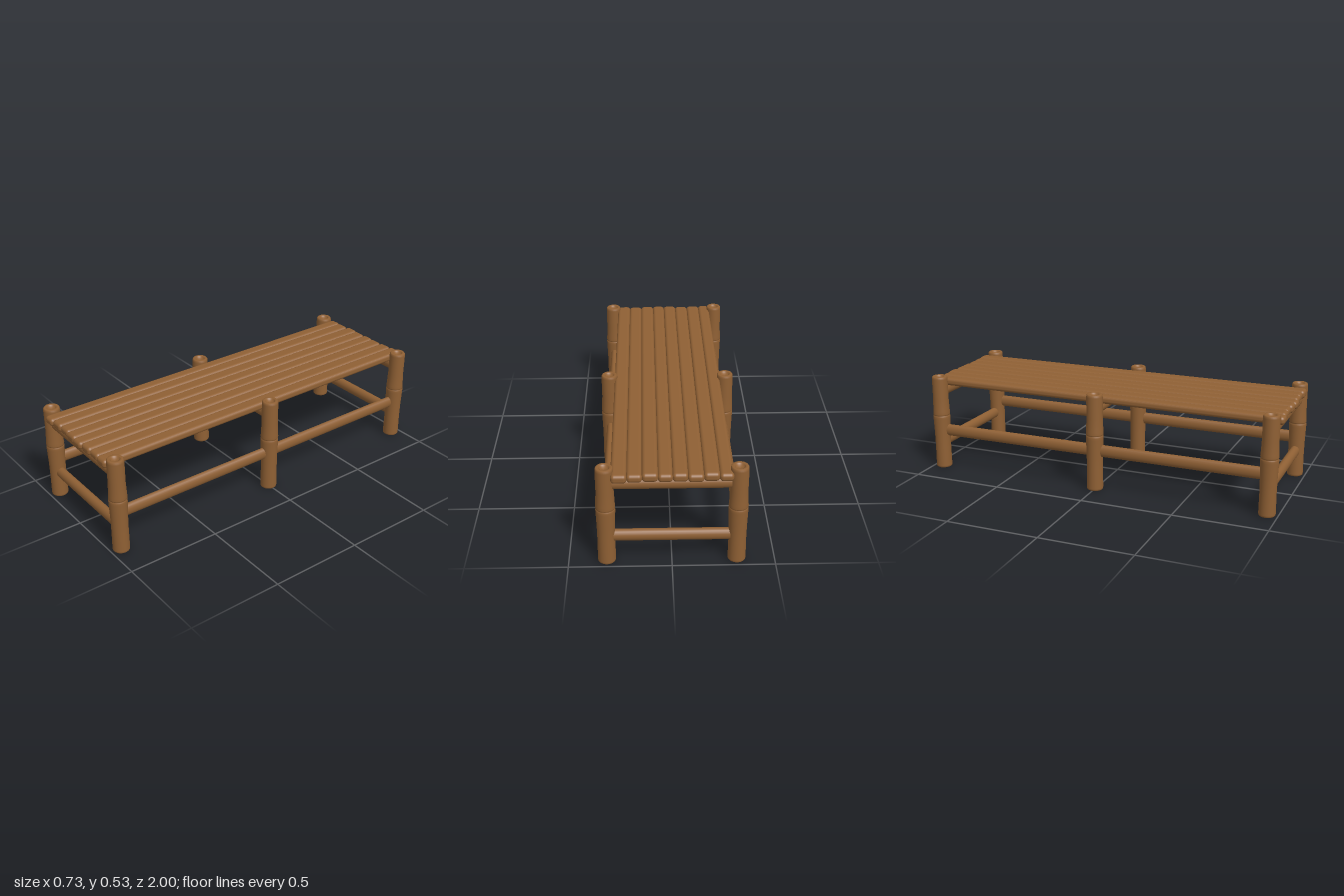
import * as THREE from 'three';
import { RoundedBoxGeometry } from 'three/addons/geometries/RoundedBoxGeometry.js';

const wood = new THREE.MeshStandardMaterial({ color: 0x8f6034 });

// Bamboo post: rounded rims, dished ends and a swollen node
const postProfile = [
  [0, 0.012], [0.017, 0.011], [0.024, 0.002], [0.028, 0], [0.039, 0], [0.043, 0.004],
  [0.044, 0.012], [0.043, 0.12], [0.044, 0.2], [0.047, 0.285], [0.0475, 0.298],
  [0.046, 0.304], [0.044, 0.306], [0.046, 0.308], [0.0475, 0.314], [0.046, 0.33],
  [0.043, 0.4], [0.0435, 0.515], [0.042, 0.525], [0.038, 0.53], [0.028, 0.53],
  [0.024, 0.527], [0.017, 0.517], [0, 0.515],
].map(([r, y]) => new THREE.Vector2(r, y));

export function createModel() {
  const group = new THREE.Group();
  const add = (name, geometry, x, y, z) => {
    const mesh = new THREE.Mesh(geometry, wood);
    mesh.name = name;
    mesh.position.set(x, y, z);
    group.add(mesh);
    return mesh;
  };

  // Six posts
  const postX = 0.315;
  const postZ = 0.944;
  const postGeometry = new THREE.LatheGeometry(postProfile, 28);
  for (const x of [-postX, postX]) {
    for (const z of [-postZ, 0, postZ]) add('post', postGeometry, x, 0, z);
  }

  // Oval poles, taller than wide
  const pole = (length, width, height) =>
    new THREE.CylinderGeometry(1, 1, length, 20)
      .rotateX(Math.PI / 2)
      .scale(width / 2, height / 2, 1);

  // Long side rails between neighbouring posts
  const sideRail = pole(postZ - 0.03, 0.042, 0.066);
  for (const x of [-postX, postX]) {
    for (const z of [-postZ / 2, postZ / 2]) add('sideRail', sideRail, x, 0.22, z);
  }

  // Cross rails: upper ones under the slats, lower ones at the two ends
  const crossRail = pole(postX * 2 - 0.03, 0.05, 0.062).rotateY(Math.PI / 2);
  for (const z of [-postZ, 0, postZ]) {
    add('upperCrossRail', crossRail, 0, 0.443, z);
    if (z !== 0) add('lowerCrossRail', crossRail, 0, 0.148, z);
  }

  // Rounded slats with slightly uneven ends
  const seams = [-0.285, -0.22, -0.147, -0.073, -0.002, 0.066, 0.14, 0.212, 0.285];
  const frontEnds = [1, 0.992, 0.988, 0.994, 0.998, 0.99, 0.986, 0.991];
  const backEnds = [0.993, 0.987, 0.998, 0.99, 0.994, 0.988, 0.995, 1];
  frontEnds.forEach((front, i) => {
    const back = -backEnds[i];
    const width = seams[i + 1] - seams[i] + 0.002;
    const height = 0.043 + 0.003 * (i % 2);
    const slat = new RoundedBoxGeometry(width, height, front - back, 4, 0.018);
    add('slat', slat, (seams[i] + seams[i + 1]) / 2, 0.49, (front + back) / 2);
  });

  return group;
}
